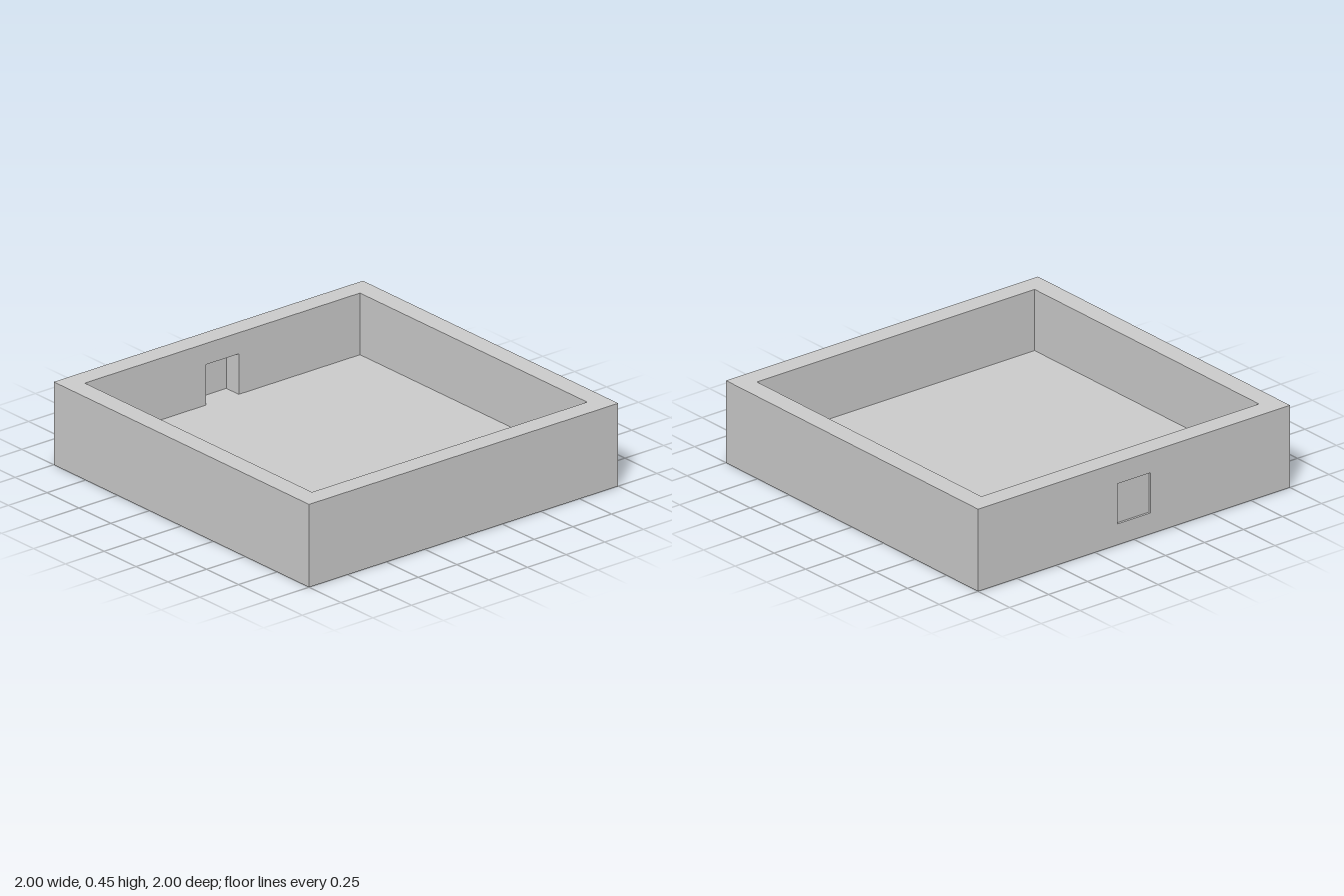
import * as THREE from 'three';
import { mergeGeometries } from 'three/addons/utils/BufferGeometryUtils.js';

const HEIGHT = 0.45, FLOOR = 0.115, INNER = 0.89;    // tray height, floor level, inner half width
const DOOR = 0.106, DOOR_TOP = 0.335, DOOR_Z = -0.988; // doorway half width, top, panel depth
const QUARTER = Math.PI / 2;

const points = (list) => list.map(([x, y]) => new THREE.Vector2(x, y));
const rect = (x0, y0, x1, y1) => points([[x0, y0], [x1, y0], [x1, y1], [x0, y1]]);

// Flat face from an outline and an optional hole; it faces +z before being turned
function face(outline, hole) {
  const shape = new THREE.Shape(outline);
  if (hole) shape.holes.push(new THREE.Path(hole));
  return new THREE.ShapeGeometry(shape);
}

export function createModel() {
  const group = new THREE.Group();
  const add = (name, faces, side = THREE.FrontSide) => {
    const material = new THREE.MeshStandardMaterial({ color: 0xcccccc, flatShading: true, side });
    const mesh = new THREE.Mesh(mergeGeometries(faces), material);
    mesh.name = name;
    group.add(mesh);
  };

  const opening = rect(-DOOR, FLOOR, DOOR, DOOR_TOP);
  // Inner back wall is notched down to the floor by the doorway
  const notched = points([
    [-INNER, FLOOR], [-DOOR, FLOOR], [-DOOR, DOOR_TOP], [DOOR, DOOR_TOP],
    [DOOR, FLOOR], [INNER, FLOOR], [INNER, HEIGHT], [-INNER, HEIGHT],
  ]);

  // Four walls, index 2 being the back
  const outer = [], inner = [];
  for (let i = 0; i < 4; i++) {
    const back = i === 2;
    outer.push(face(rect(-1, 0, 1, HEIGHT), back ? opening : null)
      .translate(0, 0, 1).rotateY(i * QUARTER));
    inner.push(face(back ? notched : rect(-INNER, FLOOR, INNER, HEIGHT))
      .rotateY(Math.PI).translate(0, 0, INNER).rotateY(i * QUARTER));
  }
  add('outerWalls', outer);
  add('innerWalls', inner);

  // Rim, floor and underside
  add('rim', [face(rect(-1, -1, 1, 1), rect(-INNER, -INNER, INNER, INNER))
    .rotateX(-QUARTER).translate(0, HEIGHT, 0)]);
  add('floor', [face(rect(-INNER, -INNER, INNER, INNER)).rotateX(-QUARTER).translate(0, FLOOR, 0)]);
  add('underside', [face(rect(-1, -1, 1, 1)).rotateX(QUARTER)]);

  // Doorway through the back wall: sill, lintel and two jambs
  const sill = rect(-DOOR, INNER, DOOR, 1);
  const jamb = rect(INNER, FLOOR, 1, DOOR_TOP);
  add('doorway', [
    face(sill).rotateX(-QUARTER).translate(0, FLOOR, 0),
    face(sill).translate(0, -2 * INNER - (1 - INNER), 0).rotateX(QUARTER)
      .translate(0, DOOR_TOP, 0),
    face(jamb).rotateY(QUARTER).translate(-DOOR, 0, 0),
    face(jamb).translate(-1 - INNER, 0, 0).rotateY(-QUARTER).translate(DOOR, 0, 0),
  ]);

  // Thin panel closing the doorway just inside the outer face
  add('doorPanel', [face(opening).translate(0, 0, DOOR_Z)], THREE.DoubleSide);
  return group;
}
